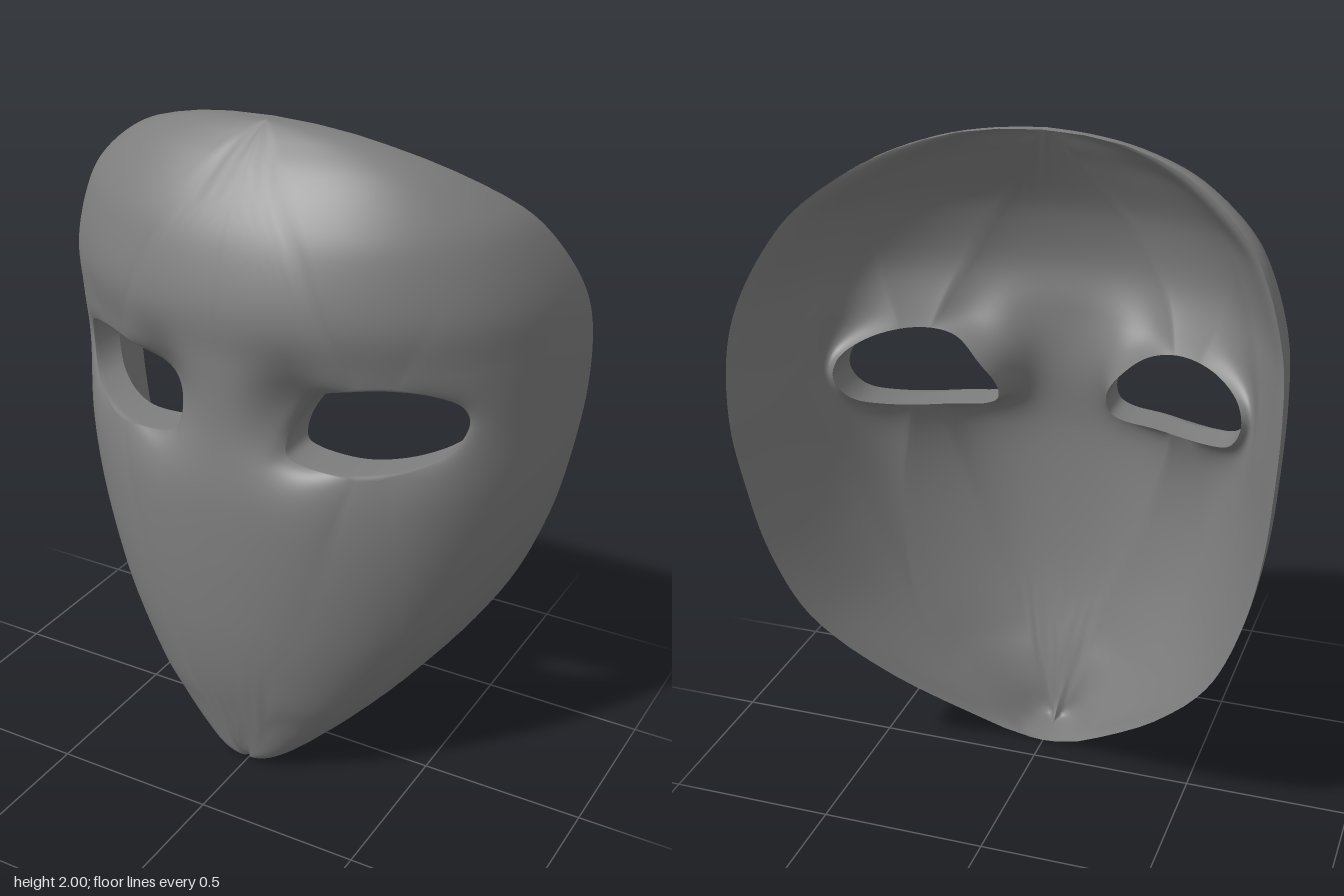
import * as THREE from 'three';
import { mergeVertices } from 'three/addons/utils/BufferGeometryUtils.js';

// Cross-sections from chin to crown: height, half width, z of back rim, z of centre line
const SECTIONS = [
  [0, 0, 0.09, 0.2], [0.01, 0.075, 0.085, 0.24], [0.04, 0.135, 0.065, 0.265],
  [0.1, 0.215, 0.02, 0.28], [0.2, 0.33, -0.06, 0.307], [0.3, 0.43, -0.135, 0.342],
  [0.45, 0.555, -0.23, 0.372], [0.6, 0.643, -0.3, 0.39], [0.8, 0.715, -0.345, 0.402],
  [1, 0.757, -0.37, 0.402], [1.2, 0.779, -0.395, 0.38], [1.4, 0.785, -0.372, 0.38],
  [1.55, 0.767, -0.31, 0.388], [1.7, 0.706, -0.22, 0.35], [1.8, 0.628, -0.14, 0.3],
  [1.9, 0.48, -0.03, 0.225], [1.96, 0.32, 0.033, 0.16], [1.99, 0.17, 0.057, 0.12],
  [2, 0, 0.065, 0.1],
];
// Eye opening seen from the front, counterclockwise from the inner corner
const EYE = [
  [0.17, 1.17], [0.18, 1.135], [0.215, 1.118], [0.3, 1.108], [0.4, 1.105], [0.5, 1.12],
  [0.57, 1.15], [0.605, 1.195], [0.618, 1.25], [0.6, 1.3], [0.54, 1.34], [0.45, 1.36],
  [0.36, 1.355], [0.28, 1.33], [0.22, 1.28], [0.18, 1.22],
];
const SPOKES = 180, RINGS = 40, WALL = 6;
const T_SCALE = 3;       // evens out the spokes around the wide eye

const rimCurve = new THREE.CatmullRomCurve3(
  SECTIONS.map(([y, w, back]) => new THREE.Vector3(w, y, back)), false, 'catmullrom');
const midCurve = new THREE.CatmullRomCurve3(
  SECTIONS.map(([y, , , front]) => new THREE.Vector3(0, y, front)), false, 'catmullrom');

// Squareness of the horizontal section: blunter at the chin
const power = (y) => 2.15 + 0.8 * Math.exp(-((y / 0.25) ** 2));

// Face position (u: centre line to rim, t: chin to crown) at ring r and depth (0 outer, 1 inner)
function facePoint(u, t, r, depth) {
  const rim = rimCurve.getPoint(t), mid = midCurve.getPoint(t);
  const a = u * Math.PI / 2;
  const s = Math.max(0, Math.sin(a)), c = u >= 1 ? 0 : Math.cos(a);
  let y = THREE.MathUtils.clamp(rim.y, 0, 2);
  let x = Math.max(0, rim.x) * Math.pow(s, 2 / power(y));
  let z = rim.z + (mid.z - rim.z) * Math.pow(c, 2 / power(y));
  // hollow beside the nose bridge, and a soft turn-in around the eye
  z -= 0.085 * Math.exp(-(((x - 0.21) / 0.1) ** 2) - ((y - 1.26) / 0.14) ** 2);
  z -= 0.028 * Math.exp(-r * 11);
  // the shell thins to an edge at the rim and deepens around the eye
  const taper = depth * (1 - u ** 8) * (1 - Math.abs(y - 1) ** 12);
  x -= taper * 0.05 * s * THREE.MathUtils.smoothstep(r, 0, 0.4);
  z -= taper * (0.055 + 0.07 * Math.exp(-r * 8));
  y -= taper * 0.045 * (y - 1) ** 3;
  return [x, y, z];
}

// Front position to face parameters
function toParams(x, y) {
  let lo = 0, hi = 1;
  for (let i = 0; i < 30; i++) {
    const m = (lo + hi) / 2;
    if (rimCurve.getPoint(m).y < y) lo = m; else hi = m;
  }
  const u = Math.asin(Math.pow(x / rimCurve.getPoint(lo).x, power(y) / 2)) / (Math.PI / 2);
  return new THREE.Vector2(u, lo);
}

// Matching points on the eye opening and on the border of the half face
function makeSpokes() {
  const curve = new THREE.CatmullRomCurve3(EYE.map(([x, y]) => new THREE.Vector3(x, y, 0)), true);
  const inner = curve.getSpacedPoints(SPOKES).slice(0, SPOKES).map((p) => toParams(p.x, p.y));
  const centre = toParams(0.4, 1.23);
  const outer = inner.map((p) => {
    const dx = p.x - centre.x, dy = p.y - centre.y;
    const kx = (dx > 0 ? 1 - centre.x : -centre.x) / (dx || 1e-9);
    const ky = (dy > 0 ? 1 - centre.y : -centre.y) / (dy || 1e-9);
    const k = Math.min(kx, ky);
    return new THREE.Vector2(
      kx <= ky ? (dx > 0 ? 1 : 0) : centre.x + dx * k,
      ky <= kx ? (dy > 0 ? 1 : 0) : centre.y + dy * k);
  });
  for (const [u, t] of [[0, 0], [1, 0], [1, 1], [0, 1]]) {
    const gap = (p) => Math.hypot(p.x - u, (p.y - t) * T_SCALE);
    outer.reduce((best, p) => (gap(p) < gap(best) ? p : best)).set(u, t);
  }
  return { inner, outer };
}

// Skin both halves along a path of [ring, depth] steps
function makeSkin({ inner, outer }, path) {
  const positions = [], index = [];
  for (const side of [1, -1]) {
    const base = positions.length / 3;
    for (const [r, depth] of path) {
      for (let i = 0; i < SPOKES; i++) {
        const p = inner[i].clone().lerp(outer[i], r);
        const [x, y, z] = facePoint(p.x, p.y, r, depth);
        positions.push(side * x, y, z);
      }
    }
    for (let k = 0; k < path.length - 1; k++) {
      for (let i = 0; i < SPOKES; i++) {
        const j = (i + 1) % SPOKES;
        const a = base + k * SPOKES + i, b = base + k * SPOKES + j;
        const c = b + SPOKES, d = a + SPOKES;
        if (side > 0) index.push(a, b, c, a, c, d);
        else index.push(a, c, b, a, d, c);
      }
    }
  }
  const geometry = new THREE.BufferGeometry();
  geometry.setAttribute('position', new THREE.Float32BufferAttribute(positions, 3));
  geometry.setIndex(index);
  const merged = mergeVertices(geometry, 1e-5);
  merged.computeVertexNormals();
  return merged;
}

export function createModel() {
  const group = new THREE.Group();
  group.name = 'mask';
  const material = new THREE.MeshStandardMaterial({ color: 0x7e7e7e });
  const spokes = makeSpokes();
  const rings = Array.from({ length: RINGS + 1 }, (_, k) => (k / RINGS) ** 1.4);

  // front surface, from the rim to the eyes and back through the eye walls
  const frontPath = rings.map((r) => [r, 0]).reverse();
  for (let k = 1; k <= WALL; k++) frontPath.push([0, k / WALL]);
  const front = new THREE.Mesh(makeSkin(spokes, frontPath), material);
  front.name = 'frontSurface';

  // hollow back surface, from the eye walls out to the rim
  const back = new THREE.Mesh(makeSkin(spokes, rings.map((r) => [r, 1])), material);
  back.name = 'backSurface';

  group.add(front, back);
  return group;
}
